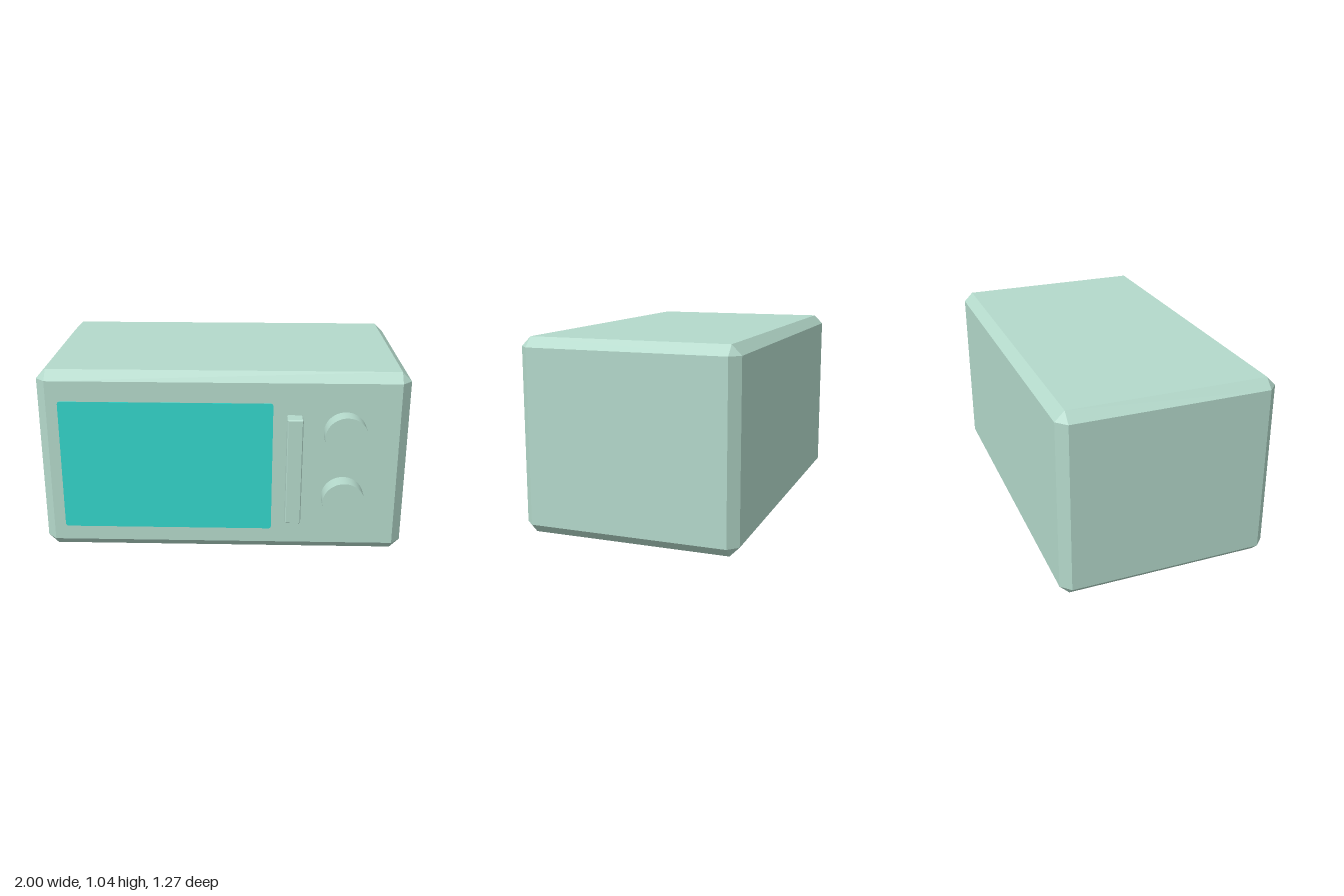
import * as THREE from 'three';
import { ConvexGeometry } from 'three/addons/geometries/ConvexGeometry.js';

const FRONT = 0.54;

// Box with every edge cut at 45 degrees and triangular corners
function chamferedBox(w, h, d, c) {
  const points = [];
  for (const sx of [-1, 1]) for (const sy of [-1, 1]) for (const sz of [-1, 1]) {
    const x = w / 2, y = h / 2, z = d / 2;
    points.push(
      new THREE.Vector3(sx * x, sy * (y - c), sz * (z - c)),
      new THREE.Vector3(sx * (x - c), sy * y, sz * (z - c)),
      new THREE.Vector3(sx * (x - c), sy * (y - c), sz * z)
    );
  }
  return new ConvexGeometry(points);
}

// Rectangle with rounded corners
function roundedRect(x0, y0, x1, y1, r) {
  const s = new THREE.Shape();
  s.absarc(x1 - r, y0 + r, r, -Math.PI / 2, 0);
  s.absarc(x1 - r, y1 - r, r, 0, Math.PI / 2);
  s.absarc(x0 + r, y1 - r, r, Math.PI / 2, Math.PI);
  s.absarc(x0 + r, y0 + r, r, Math.PI, Math.PI * 1.5);
  s.closePath();
  return s;
}

export function createModel() {
  const model = new THREE.Group();
  model.name = 'microwave';
  const shell = new THREE.MeshStandardMaterial({ color: 0xb4d9cb });
  shell.name = 'pale green';
  const glass = new THREE.MeshStandardMaterial({ color: 0x33d6cb });
  glass.name = 'turquoise';

  const add = (name, geometry, material, x, y, z) => {
    const mesh = new THREE.Mesh(geometry, material);
    mesh.name = name;
    mesh.position.set(x, y, z);
    model.add(mesh);
    return mesh;
  };

  // Casing
  add('casing', chamferedBox(2, 1.04, 1.175, 0.052), shell, 0, 0.52, FRONT - 1.175 / 2);

  // Door window, a thin plate on the front
  const pane = new THREE.ExtrudeGeometry(roundedRect(-0.885, 0.135, 0.27, 0.875, 0.015),
    { depth: 0.003, bevelEnabled: false, curveSegments: 4 });
  add('window', pane, glass, 0, 0, FRONT);

  // Upright door handle
  add('handle', chamferedBox(0.084, 0.604, 0.084, 0.005), shell, 0.386, 0.51, FRONT + 0.04);

  // Two round control knobs
  for (const [name, y] of [['upperKnob', 0.715], ['lowerKnob', 0.34]]) {
    const knob = new THREE.CylinderGeometry(0.115, 0.115, 0.095, 48);
    knob.rotateX(Math.PI / 2);
    add(name, knob, shell, 0.657, y, FRONT + 0.0475);
  }

  return model;
}
